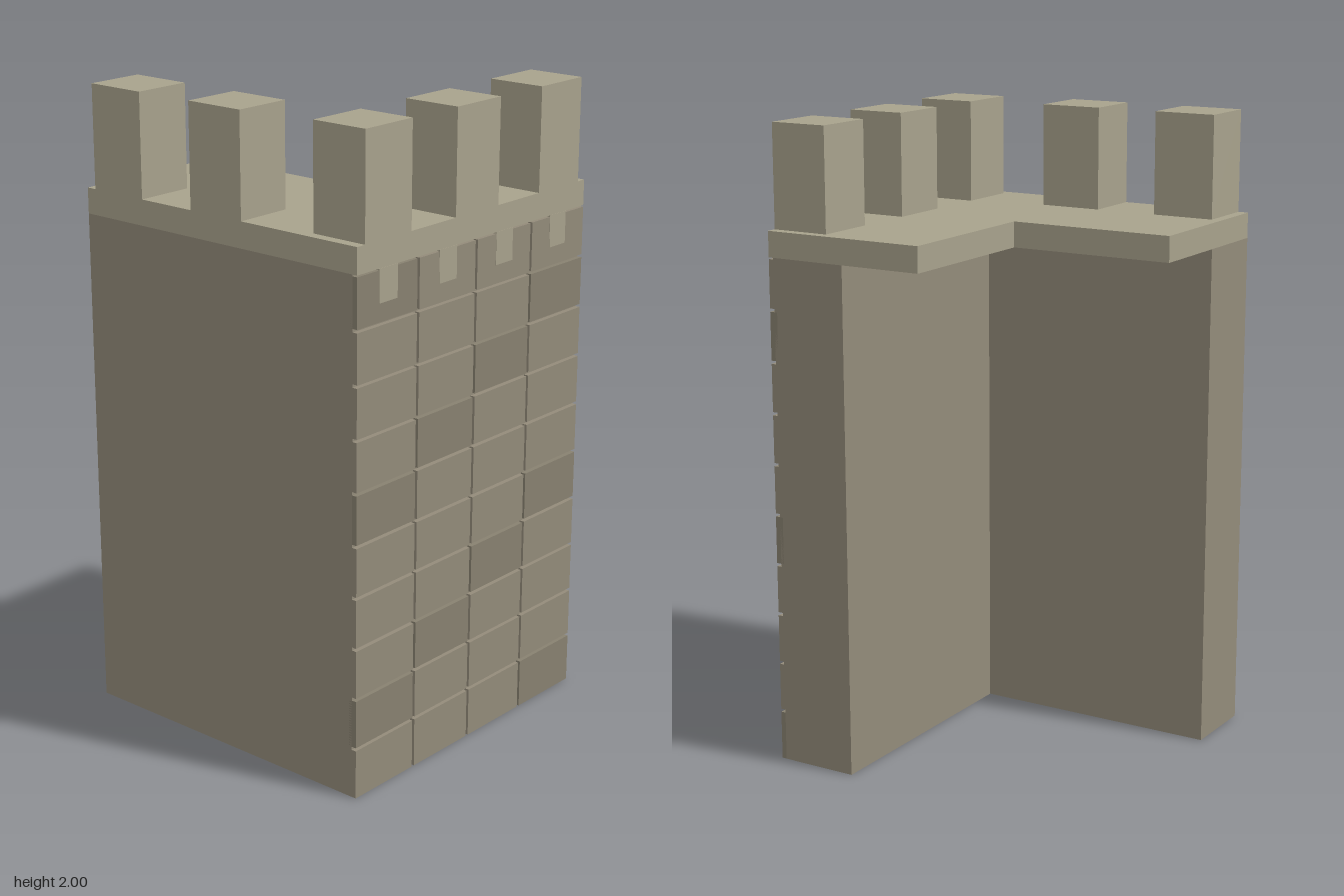
import * as THREE from 'three';

const stone = (color) => new THREE.MeshStandardMaterial({ color, flatShading: true });

export function createModel() {
  const group = new THREE.Group();
  group.name = 'castleCornerWall';
  const trim = stone(0xa8a28c), wall = stone(0x938b7a), dark = stone(0x888170);
  const H = 0.533, WALL_TOP = 1.6, DECK_TOP = 1.68;

  // Box given by its minimum and maximum corners
  const box = (name, material, [x0, y0, z0], [x1, y1, z1]) => {
    const mesh = new THREE.Mesh(new THREE.BoxGeometry(x1 - x0, y1 - y0, z1 - z0), material);
    mesh.position.set((x0 + x1) / 2, (y0 + y1) / 2, (z0 + z1) / 2);
    mesh.name = name;
    group.add(mesh);
  };

  // L-shaped plan extruded upward; corners given as (x, z)
  const extrudePlan = (name, material, corners, y0, y1) => {
    const shape = new THREE.Shape(corners.map(([x, z]) => new THREE.Vector2(x, -z)));
    const geometry = new THREE.ExtrudeGeometry(shape, { depth: y1 - y0, bevelEnabled: false });
    geometry.rotateX(-Math.PI / 2);
    const mesh = new THREE.Mesh(geometry, material);
    mesh.position.y = y0;
    mesh.name = name;
    group.add(mesh);
  };

  // Two walls meeting at the corner
  const face = 0.517;
  extrudePlan('cornerWalls', wall,
    [[-H, H], [face, H], [face, -H], [0.267, -H], [0.267, 0.283], [-H, 0.283]], 0, WALL_TOP);

  // Walkway slab overhanging the inner sides
  extrudePlan('walkway', trim,
    [[-H, H], [H, H], [H, -H], [0, -H], [0, 0], [-H, 0]], WALL_TOP, DECK_TOP);

  // Raised stone blocks on the side wall, with darker ones on a diagonal
  const rows = 10, cols = 4, rowH = WALL_TOP / rows, colW = 2 * H / cols, gap = 0.005;
  for (let r = 0; r < rows; r++) {
    for (let c = 0; c < cols; c++) {
      const z = H - c * colW;
      box('stoneBlock', c === (r + 3) % cols ? dark : wall,
        [face - 0.01, r * rowH + (r ? gap : 0), z - colW + (c < cols - 1 ? gap : 0)],
        [H, (r + 1) * rowH - gap, z - (c ? gap : 0)]);
    }
  }

  // Small corbels under the walkway edge
  for (let c = 0; c < cols; c++) {
    const z = H - (c + 0.5) * colW;
    box('corbel', trim, [face - 0.01, 1.5, z - 0.04], [H + 0.001, WALL_TOP, z + 0.04]);
  }

  // Battlements along both outer edges
  for (const t of [-0.4, 0, 0.4]) {
    box('sideMerlon', trim, [0.345, DECK_TOP, t - 0.1], [H, 2, t + 0.1]);
    if (t < 0.4) box('frontMerlon', trim, [t - 0.1, DECK_TOP, 0.345], [t + 0.1, 2, H]);
  }
  return group;
}
